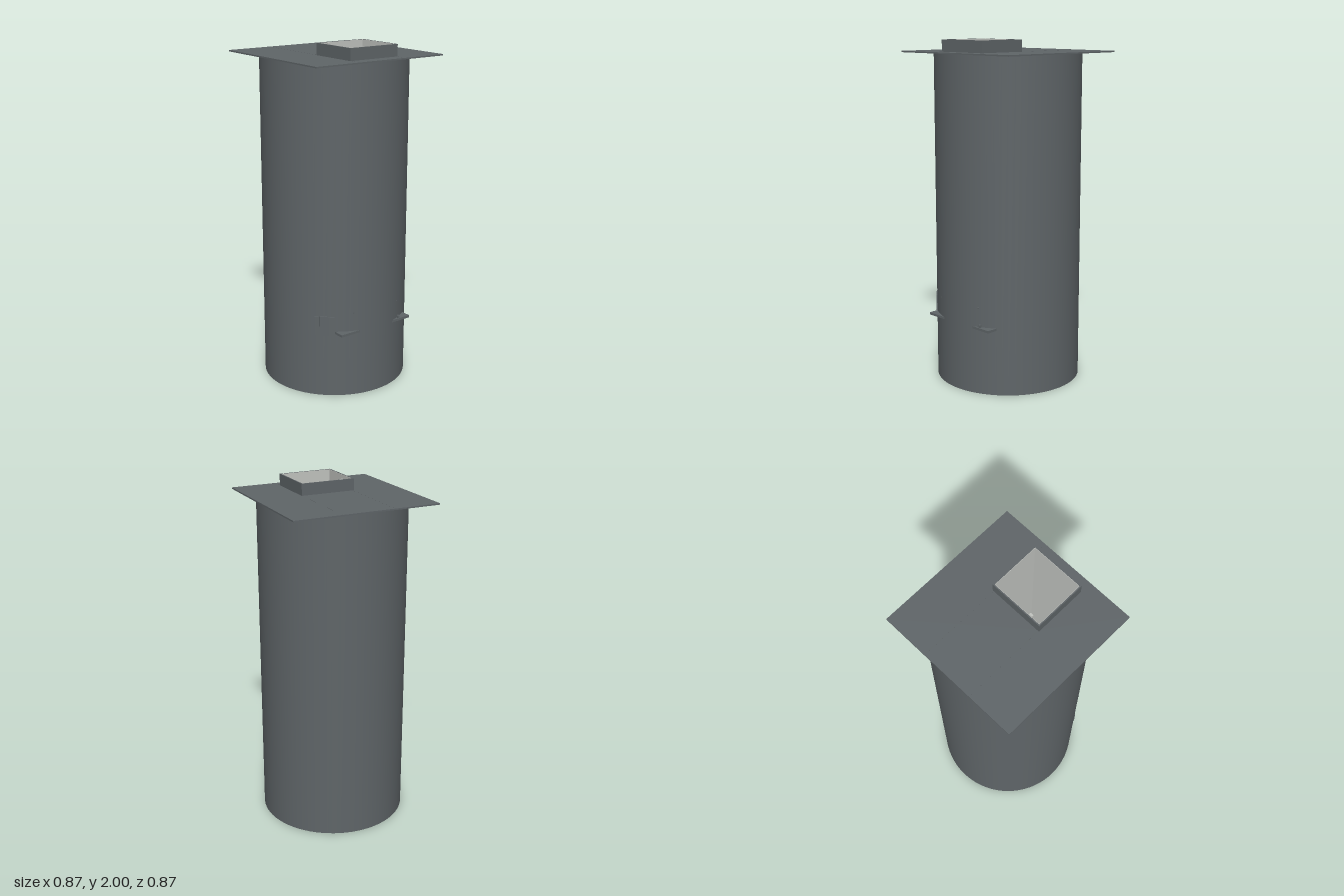
import * as THREE from 'three';

const steel = new THREE.MeshStandardMaterial({ color: 0x5f6568 });
steel.name = 'dark grey steel';
const lining = new THREE.MeshStandardMaterial({ color: 0xc2c4c0 });
lining.name = 'pale lining';
const liningInside = lining;
liningInside.side = THREE.DoubleSide;

const R = 0.427;                                   // tank radius
const DECK = 1.932;                                // top of the cover plate
const HATCH = { x: 0, z: 0.209, w: 0.326, d: 0.308, wall: 0.007 };

function rectPath(PathType, x, z, w, d) {
  const p = new PathType();
  p.moveTo(x - w / 2, -z - d / 2);
  p.lineTo(x + w / 2, -z - d / 2);
  p.lineTo(x + w / 2, -z + d / 2);
  p.lineTo(x - w / 2, -z + d / 2);
  p.closePath();
  return p;
}

export function createModel() {
  const model = new THREE.Group();

  function add(name, geometry, material, x = 0, y = 0, z = 0) {
    const mesh = new THREE.Mesh(geometry, material);
    mesh.name = name;
    mesh.position.set(x, y, z);
    model.add(mesh);
    return mesh;
  }
  const box = (name, material, w, h, d, x, y, z) =>
    add(name, new THREE.BoxGeometry(w, h, d), material, x, y, z);

  // Horizontal slab with the hatch opening cut out of it
  function framedSlab(name, x, z, w, d, y0, y1) {
    const shape = rectPath(THREE.Shape, x, z, w, d);
    const t = HATCH.wall * 2;
    shape.holes.push(rectPath(THREE.Path, HATCH.x, HATCH.z, HATCH.w - t, HATCH.d - t));
    const g = new THREE.ExtrudeGeometry(shape, { depth: y1 - y0, bevelEnabled: false });
    g.rotateX(-Math.PI / 2);
    return add(name, g, steel, 0, y0, 0);
  }

  // Tall round tank with a closed base
  add('tankWall', new THREE.CylinderGeometry(R, R, 1.925, 72, 1, true), steel, 0, 0.9625, 0);
  const base = add('tankBase', new THREE.CircleGeometry(R, 72), steel);
  base.rotation.x = Math.PI / 2;

  // Square cover plate and raised hatch collar
  framedSlab('coverPlate', 0, 0, 0.868, 0.868, 1.924, DECK);
  framedSlab('hatchCollar', HATCH.x, HATCH.z, HATCH.w, HATCH.d, DECK, 2);

  // Pale lining of the entrance shaft, and the floor far below
  const iw = HATCH.w - HATCH.wall * 2, id = HATCH.d - HATCH.wall * 2;
  const shaftTop = 1.999, shaftH = 1.6, shaftY = shaftTop - shaftH / 2;
  for (const s of [-1, 1]) {
    box('shaftSideWall', liningInside, 0.002, shaftH, id, s * (iw / 2 - 0.001), shaftY, HATCH.z);
    box('shaftEndWall', liningInside, iw, shaftH, 0.002, 0, shaftY, HATCH.z + s * (id / 2 - 0.001));
  }
  box('shaftFloor', steel, iw, 0.01, id, 0, 0.4, HATCH.z);

  // Steep flight of steps inside the shaft
  for (let i = 0; i < 8; i++) {
    box('step', steel, 0.06, 0.012, 0.024, -0.126, 1.7 - i * 0.15, 0.094 + i * 0.0235);
  }
  box('stairPost', lining, 0.02, 0.3, 0.012, -0.09, 1.85, 0.072);

  // Seams along the cover plate, behind the hatch and in front of it
  for (const s of [-1, 1]) {
    box('plateSeam', steel, 0.003, 0.001, 0.485, s * 0.157, DECK, -0.1875);
    box('plateSeam', steel, 0.003, 0.001, 0.05, s * 0.157, DECK, 0.39);

    // Ledges whose corners break through the tank front
    box('ledge', steel, 0.13, 0.014, 0.11, s * 0.185, 0.392, 0.355);
    box('wallPeg', steel, 0.006, 0.006, 0.02, s * 0.157, 0.51, 0.39);
  }
  box('ledgeKnob', steel, 0.012, 0.016, 0.012, 0.172, 0.407, 0.4);

  // Upright slats of the panel on the front right of the tank
  for (let i = 0; i < 4; i++) {
    const a = -0.9 + (i + 0.5) * 0.0675;
    const slat = box('panelSlat', steel, 0.027, 0.115, 0.012,
      Math.sin(a) * R, 0.433, Math.cos(a) * R);
    slat.rotation.y = a;
  }
  return model;
}
